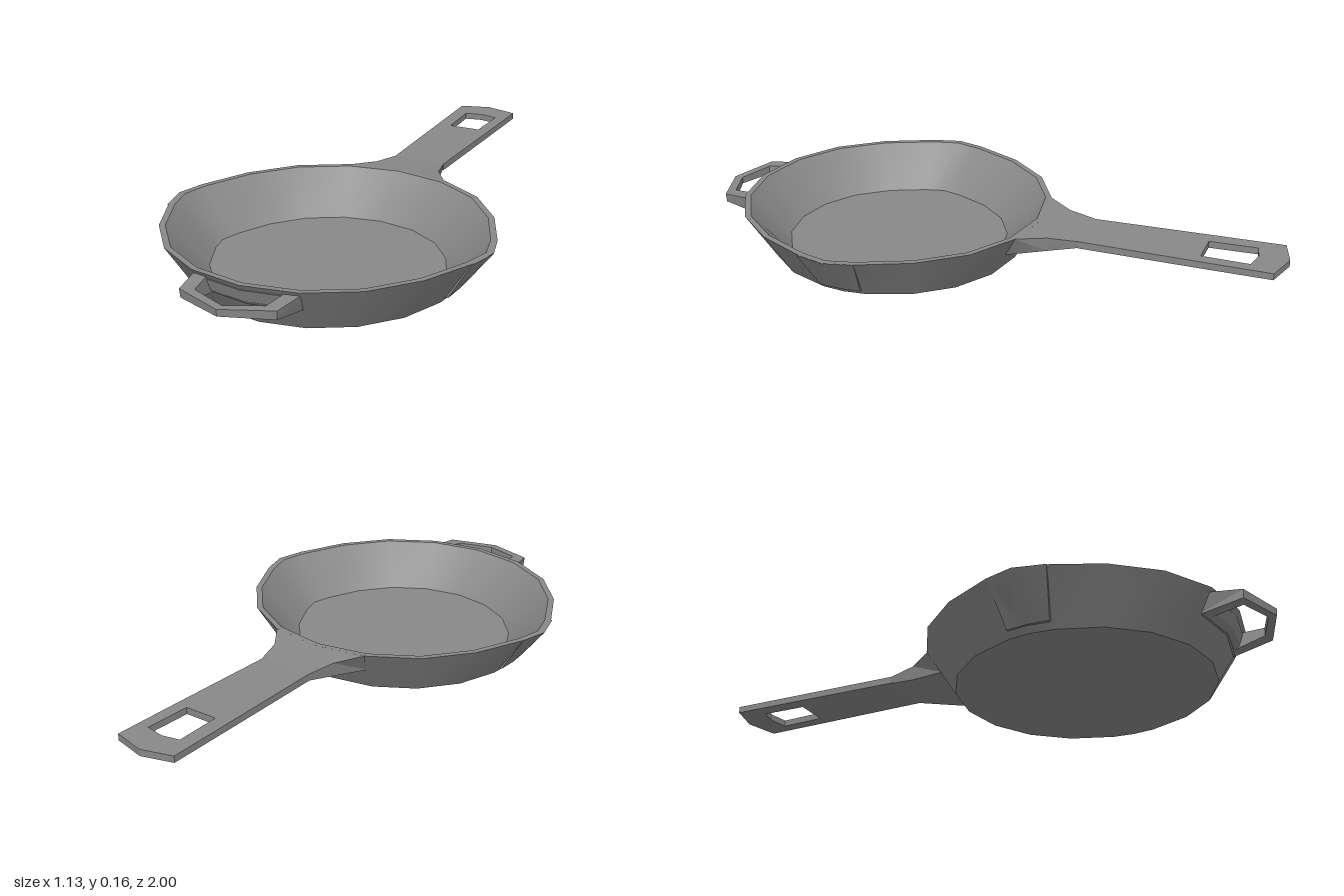
import * as THREE from 'three';
import { toCreasedNormals } from 'three/addons/utils/BufferGeometryUtils.js';

const material = new THREE.MeshStandardMaterial({ color: 0x888888 });
const CENTRE_Z = 0.35;

// Skin a row of equal-length closed cross-sections and cap both ends.
function loft(sections, crease) {
  const n = sections[0].length, last = (sections.length - 1) * n;
  const points = sections.flat().map(p => new THREE.Vector3(...p));
  const index = [];
  for (let s = 0; s < sections.length - 1; s++) {
    for (let i = 0; i < n; i++) {
      const a = s * n + i, b = s * n + (i + 1) % n;
      index.push(a, b, b + n, a, b + n, a + n);
    }
  }
  for (let i = 1; i < n - 1; i++) {
    index.push(0, i + 1, i, last, last + i, last + i + 1);
  }
  // Turn the faces outward whichever way the sections run.
  let volume = 0;
  for (let i = 0; i < index.length; i += 3) {
    volume += points[index[i]].dot(points[index[i + 1]].clone().cross(points[index[i + 2]]));
  }
  if (volume < 0) index.reverse();
  const geometry = new THREE.BufferGeometry().setFromPoints(points);
  geometry.setIndex(index);
  return toCreasedNormals(geometry, crease);
}

function part(name, geometry) {
  const mesh = new THREE.Mesh(geometry, material);
  mesh.name = name;
  return mesh;
}

// Eighteen-sided ring, drawn out toward an extra point at each side for the pouring lips.
function ring(radius, y, lip) {
  const degrees = [];
  for (let d = 0; d < 360; d += 20) {
    degrees.push(d);
    if (d === 80 || d === 260) degrees.push(d + 10);
  }
  return degrees.map(d => {
    const away = Math.abs(d % 180 - 90);
    const r = THREE.MathUtils.lerp(lip, radius, Math.min(away / 20, 1));
    const a = THREE.MathUtils.degToRad(d);
    return [Math.sin(a) * r, y, CENTRE_Z + Math.cos(a) * r];
  });
}

function createPan() {
  return part('pan', loft([
    ring(0.43, 0, 0.433),
    ring(0.53, 0.16, 0.563),
    ring(0.51, 0.16, 0.54),
    ring(0.378, 0.02, 0.4),
  ], 0.5));
}

// Faceted thickening outside the wall under a pouring lip, with a small ledge at its foot.
function createLip(side) {
  const section = (y, list) => list.map(([x, z]) => [side * x, y, CENTRE_Z + z]);
  return part(side > 0 ? 'leftPouringLip' : 'rightPouringLip', loft([
    section(0.02, [[0.425, 0], [0.425, 0.074], [0.45, 0.073], [0.455, 0], [0.45, -0.07], [0.425, -0.07]]),
    section(0.159, [[0.548, 0], [0.524, 0.1], [0.538, 0.105], [0.564, 0], [0.538, -0.095], [0.524, -0.095]]),
  ], 0.6));
}

// Flared neck running from the pan wall into the grip.
function createNeck() {
  const station = (z, half, top, bottom) => [
    [0, top, z], [half, top, z], [half * 0.96, bottom, z],
    [0, bottom, z], [-half * 0.96, bottom, z], [-half, top, z],
  ];
  const root = [
    [0, 0.16, -0.178], [0.181, 0.16, -0.146], [0.16, 0.085, -0.1],
    [0, 0.085, -0.122], [-0.16, 0.085, -0.1], [-0.181, 0.16, -0.146],
  ];
  return part('handleNeck', loft([
    root, station(-0.236, 0.12, 0.152, 0.104), station(-0.335, 0.095, 0.145, 0.121),
  ], 0.4));
}

// Flat grip with a hanging hole, rising slightly toward its pointed end.
function createGrip() {
  const toPath = list => list.map(([x, z]) => new THREE.Vector2(x, -z));
  const shape = new THREE.Shape(toPath([
    [-0.095, -0.335], [0.095, -0.335], [0.106, -0.72],
    [0.112, -0.97], [0, -1], [-0.106, -0.97], [-0.102, -0.72],
  ]));
  shape.holes.push(new THREE.Path(toPath([
    [-0.051, -0.73], [-0.055, -0.89], [0.003, -0.902], [0.069, -0.89], [0.063, -0.73],
  ])));
  const geometry = new THREE.ExtrudeGeometry(shape, { depth: 1, bevelEnabled: false });
  geometry.rotateX(-Math.PI / 2);
  const pos = geometry.attributes.position;
  for (let i = 0; i < pos.count; i++) {
    const t = (-0.335 - pos.getZ(i)) / 0.665;
    const top = 0.145 + 0.008 * t, bottom = 0.121 + 0.01 * t;
    pos.setY(i, THREE.MathUtils.lerp(bottom, top, pos.getY(i)));
  }
  return part('handleGrip', toCreasedNormals(geometry, 0.3));
}

// Open loop handle at the front, deeper where it meets the wall.
function createFrontLoop() {
  // Points run outer top, inner top, inner bottom, outer bottom.
  const root = s => [
    [s * 0.18, 0.147, 0.832], [s * 0.13, 0.147, 0.85], [s * 0.125, 0.085, 0.808], [s * 0.167, 0.083, 0.793],
  ];
  const elbow = s => [
    [s * 0.162, 0.141, 0.94], [s * 0.118, 0.141, 0.925], [s * 0.116, 0.112, 0.925], [s * 0.16, 0.112, 0.938],
  ];
  const tip = [[0, 0.136, 0.998], [0, 0.136, 0.969], [0, 0.113, 0.969], [0, 0.113, 0.996]];
  return part('frontLoop', loft([root(-1), elbow(-1), tip, elbow(1), root(1)], 0.2));
}

// Thin plate on the wall between the roots of the loop.
function createLoopPlate() {
  const station = x => {
    const wall = r => CENTRE_Z + Math.sqrt(r * r - x * x);
    return [
      [x, 0.14, wall(0.505)], [x, 0.14, wall(0.52)], [x, 0.1, wall(0.507)],
      [x, 0.083, wall(0.488)], [x, 0.083, wall(0.465)],
    ];
  };
  return part('loopPlate', loft([-0.16, 0, 0.16].map(station), 0.4));
}

export function createModel() {
  const model = new THREE.Group();
  model.name = 'skillet';
  model.add(
    createPan(), createLip(1), createLip(-1),
    createNeck(), createGrip(), createFrontLoop(), createLoopPlate(),
  );
  return model;
}
